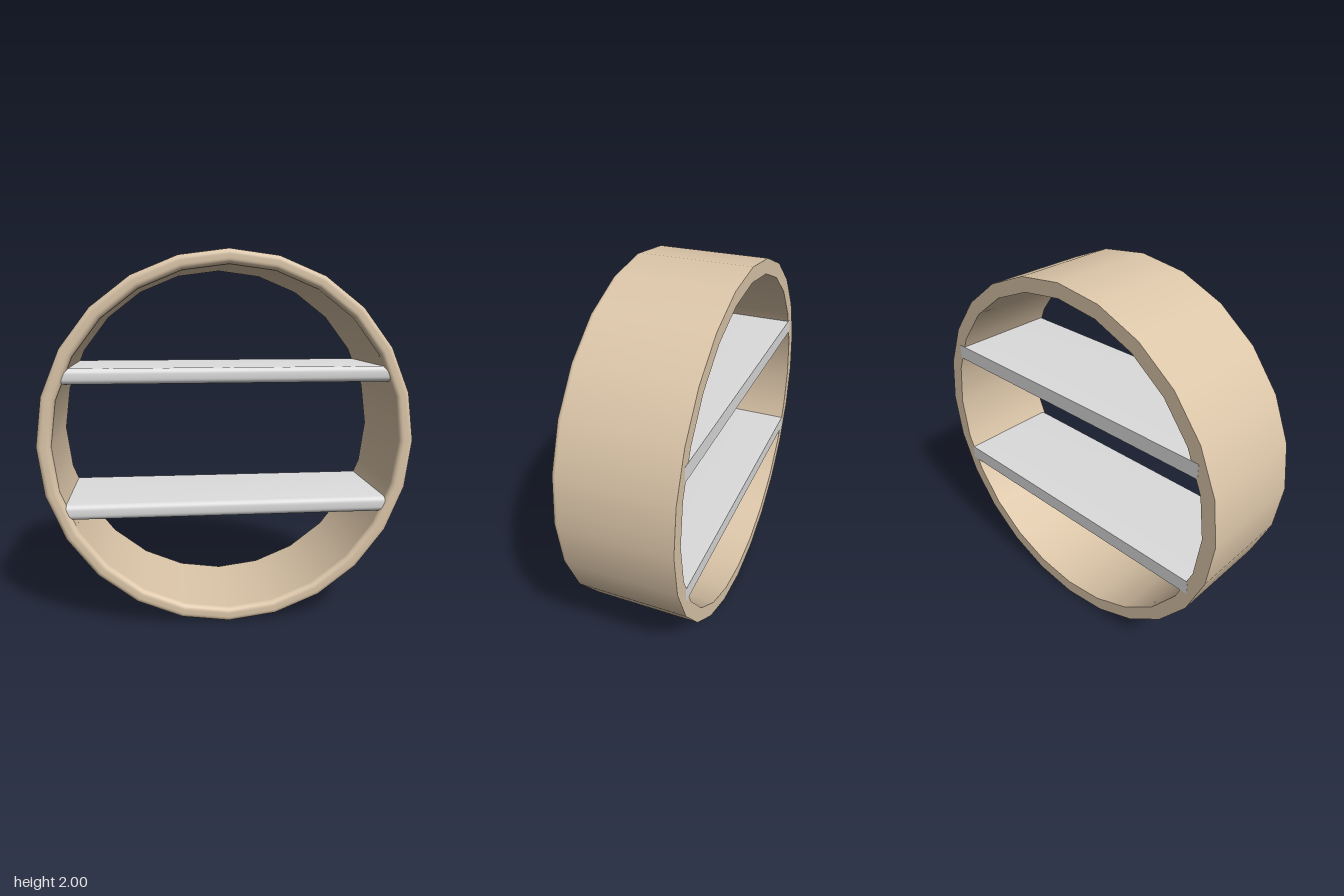
import * as THREE from 'three';
import { toCreasedNormals } from 'three/addons/utils/BufferGeometryUtils.js';

const OUTER = 1, INNER = 0.922, HALF = 0.31, ROUND = 0.028, SIDES = 24, STEPS = 5;

// Quarter-circle points around (cx, cy), from angle a0 to a1
function arc(cx, cy, a0, a1) {
  return Array.from({ length: STEPS + 1 }, (_, i) => {
    const a = a0 + (a1 - a0) * i / STEPS;
    return new THREE.Vector2(cx + ROUND * Math.cos(a), cy + ROUND * Math.sin(a));
  });
}

export function createModel() {
  const wood = new THREE.MeshStandardMaterial({ name: 'tan wood', color: 0xdcc6a9 });
  const grey = new THREE.MeshStandardMaterial({ name: 'light grey', color: 0xdcdcdc });
  const model = new THREE.Group();
  model.name = 'roundShelf';

  // Ring: open lathe profile with a rounded front rim, turned to face +z
  const ring = new THREE.Group();
  ring.name = 'ring';
  ring.position.y = 1;
  const profile = [
    new THREE.Vector2(OUTER, -HALF),
    ...arc(OUTER - ROUND, HALF - ROUND, 0, Math.PI / 2),
    ...arc(INNER + ROUND, HALF - ROUND, Math.PI / 2, Math.PI),
    new THREE.Vector2(INNER, -HALF),
  ];
  const band = new THREE.Mesh(new THREE.LatheGeometry(profile, SIDES).rotateX(Math.PI / 2), wood);
  band.name = 'ringBand';

  // Flat back rim
  const back = new THREE.Mesh(new THREE.RingGeometry(INNER, OUTER, SIDES).rotateY(Math.PI), wood);
  back.name = 'ringBack';
  back.position.z = -HALF;
  ring.add(band, back);
  model.add(ring);

  // Shelf boards: cross-section (-z, y) with a rounded front, extruded along x
  const halfWidth = 0.866, halfThick = 0.041, front = 0.302;
  const section = new THREE.Shape([
    new THREE.Vector2(HALF + 0.001, -halfThick),
    new THREE.Vector2(HALF + 0.001, halfThick),
    ...arc(-front + ROUND, halfThick - ROUND, Math.PI / 2, Math.PI),
    ...arc(-front + ROUND, -halfThick + ROUND, Math.PI, Math.PI * 1.5),
  ]);
  const boardGeo = toCreasedNormals(
    new THREE.ExtrudeGeometry(section, { depth: halfWidth * 2, bevelEnabled: false })
      .translate(0, 0, -halfWidth).rotateY(Math.PI / 2), 0.5);
  for (const [name, y] of [['upperShelf', 1.36], ['lowerShelf', 0.645]]) {
    const board = new THREE.Mesh(boardGeo, grey);
    board.name = name;
    board.position.y = y;
    model.add(board);
  }
  return model;
}
